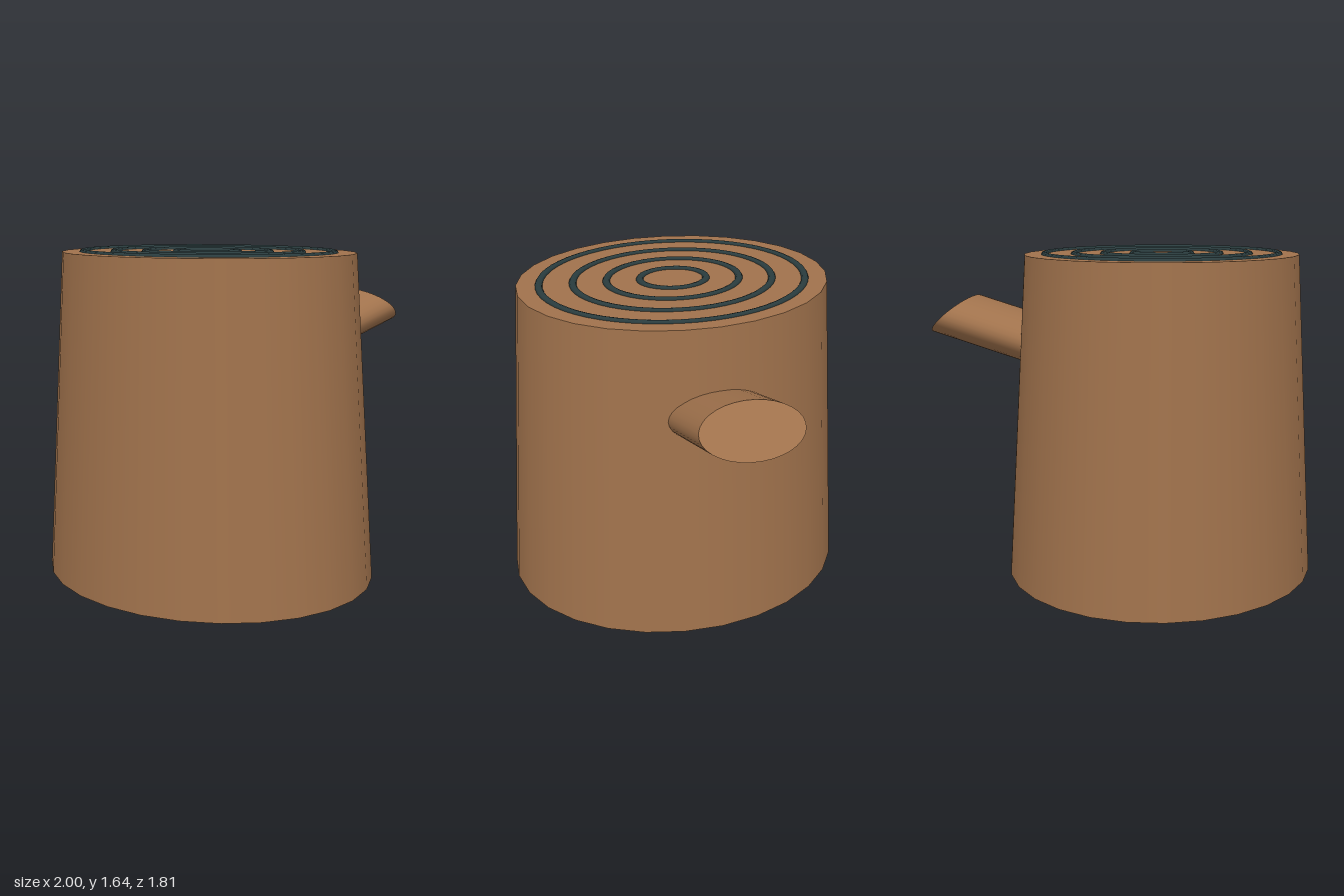
import * as THREE from 'three';

const CENTRE_X = -0.215;
const HEIGHT = 1.625;
const DEPTH_RATIO = 1.155; // the trunk is oval: deeper than it is wide

export function createModel() {
  const bark = new THREE.MeshStandardMaterial({ color: 0xa0724c });
  bark.name = 'brown wood';
  const ringColor = new THREE.MeshStandardMaterial({ color: 0x2a3c3e });
  ringColor.name = 'dark teal';

  const group = new THREE.Group();
  group.name = 'treeStump';
  const add = (name, geometry, material) => {
    const mesh = new THREE.Mesh(geometry, material);
    mesh.name = name;
    group.add(mesh);
    return mesh;
  };

  // Tapered oval trunk
  const trunk = add('trunk', new THREE.CylinderGeometry(0.69, 0.785, HEIGHT, 28), bark);
  trunk.scale.z = DEPTH_RATIO;
  trunk.position.set(CENTRE_X, HEIGHT / 2, 0);

  // Four evenly spaced growth rings, half sunk into the cut top
  for (let i = 1; i <= 4; i++) {
    const geometry = new THREE.TorusGeometry(0.1475 * i, 0.0165, 8, 56);
    geometry.rotateX(Math.PI / 2);
    const ring = add('growthRing' + i, geometry, ringColor);
    ring.scale.set(1, 0.8, DEPTH_RATIO);
    ring.position.set(CENTRE_X, HEIGHT, 0);
  }

  // Side branch: a slanted oval cylinder whose end is cut on the skew
  const length = 0.6;
  const branch = new THREE.CylinderGeometry(1, 1, length, 32);
  branch.translate(0, -length / 2, 0);
  branch.applyMatrix4(new THREE.Matrix4().makeBasis(
    new THREE.Vector3(0.108, -0.0975, 0),  // skewed cut
    new THREE.Vector3(0.96, 0.28, 0),      // branch direction
    new THREE.Vector3(0, 0, 0.252)         // half width
  ));
  branch.translate(0.89, 1.298, 0);
  add('branch', branch, bark);

  return group;
}
